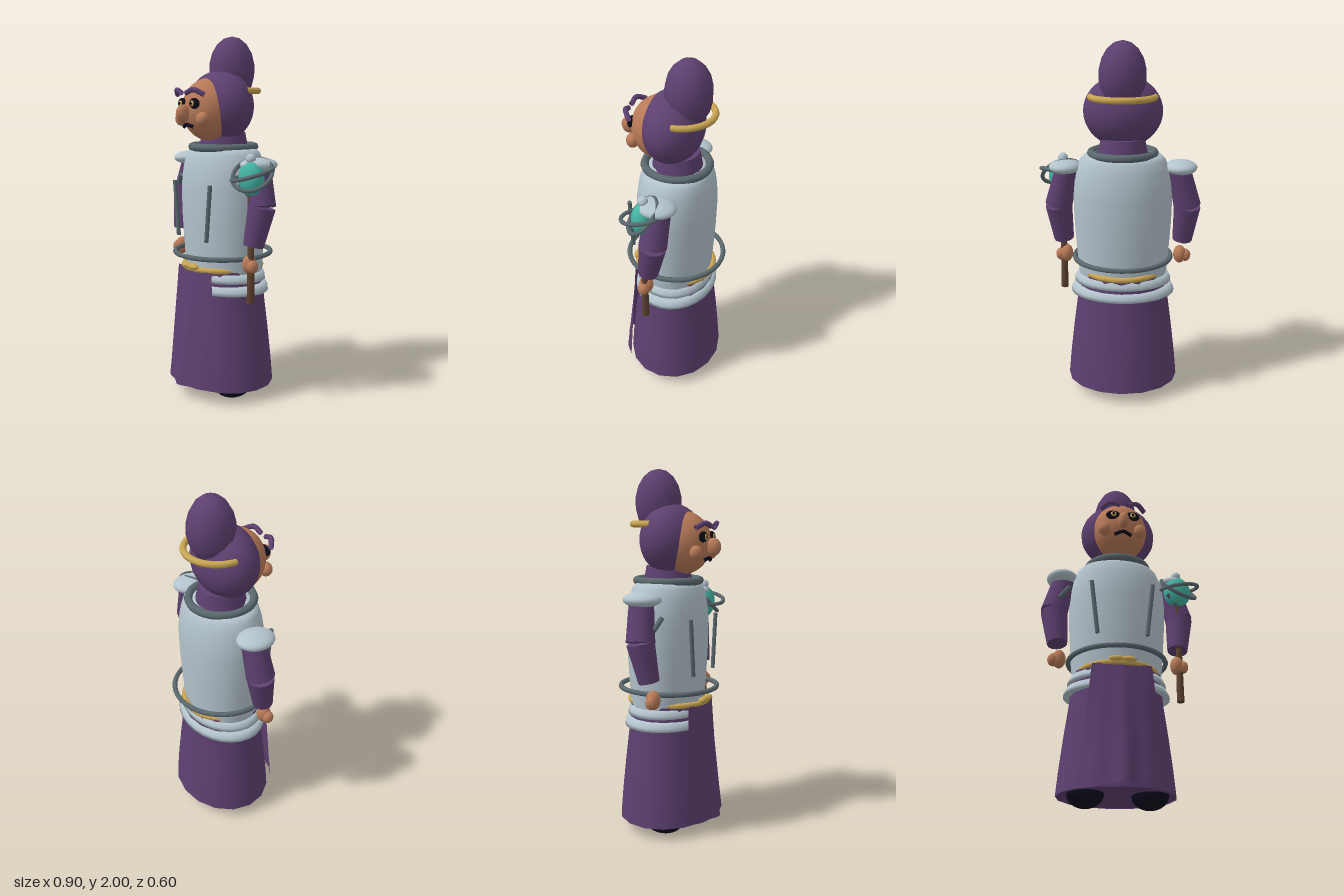
import * as THREE from 'three';

const mat = (name, color, side = THREE.FrontSide) => {
  const m = new THREE.MeshStandardMaterial({ color, side });
  m.name = name;
  return m;
};

export function createModel() {
  const purple = mat('purple cloth', 0x5d4070, THREE.DoubleSide);
  const steel = mat('pale steel', 0xb3c3cc, THREE.DoubleSide);
  const iron = mat('dark iron', 0x5a686d);
  const gold = mat('gold', 0xc9a552);
  const skin = mat('skin', 0xb87a58);
  const black = mat('black', 0x0b0b1c);
  const wood = mat('wood', 0x5e4231);
  const teal = mat('teal crystal', 0x43b3a2);

  const model = new THREE.Group();
  model.name = 'figure';
  const body = new THREE.Group();
  body.name = 'body';
  body.position.x = -0.022;
  model.add(body);

  const V = (x, y, z) => new THREE.Vector3(x, y, z);
  const add = (name, geo, material, x = 0, y = 0, z = 0) => {
    const m = new THREE.Mesh(geo, material);
    m.name = name;
    m.position.set(x, y, z);
    body.add(m);
    return m;
  };
  const ball = (name, material, pos, r, seg = 20) =>
    add(name, new THREE.SphereGeometry(1, seg, Math.ceil(seg * 0.7)).scale(...r), material, ...pos);
  const lathe = (name, material, pts, zScale, z, seg = 28) =>
    add(name, new THREE.LatheGeometry(pts.map(p => new THREE.Vector2(...p)), seg).scale(1, 1, zScale), material, 0, 0, z);
  const ring = (name, material, R, t, pos, seg = 40) =>
    add(name, new THREE.TorusGeometry(R, t, 8, seg).rotateX(Math.PI / 2), material, ...pos);
  const tube = (name, material, pts, r) =>
    add(name, new THREE.CapsuleGeometry ? new THREE.TubeGeometry(new THREE.CatmullRomCurve3(pts), 10, r, 8) : null, material);
  // Tapered cylinder from a to b
  const limb = (name, material, a, b, ra, rb, seg = 14) => {
    const d = b.clone().sub(a);
    const m = add(name, new THREE.CylinderGeometry(rb, ra, d.length(), seg), material, ...a.clone().lerp(b, 0.5).toArray());
    m.quaternion.setFromUnitVectors(V(0, 1, 0), d.normalize());
    return m;
  };

  // Skirt with closed hem
  lathe('skirt', purple, [[0.315, 0.07], [0.303, 0.2], [0.282, 0.38], [0.258, 0.56], [0.245, 0.73]], 0.85, -0.015, 16);
  add('skirtBottom', new THREE.CircleGeometry(0.314, 16).rotateX(Math.PI / 2).scale(1, 1, 0.85), purple, 0, 0.075, -0.015);

  // Apron panel: flares and bows outward towards the hem, with soft folds
  const apron = new THREE.PlaneGeometry(2, 1, 16, 8);
  const p = apron.attributes.position;
  for (let i = 0; i < p.count; i++) {
    const u = p.getX(i), v = p.getY(i) + 0.5;
    const half = THREE.MathUtils.lerp(0.222, 0.16, v);
    const mid = THREE.MathUtils.lerp(0.295, 0.205, v);
    const bow = THREE.MathUtils.lerp(0.085, 0.025, v);
    const fold = 0.007 * (1 - v) * Math.cos(u * 9.4);
    p.setXYZ(i, u * half, 0.09 + 0.64 * v - 0.01 * (1 - v) * (1 - u * u), mid - bow * Math.abs(u) ** 1.4 + fold);
  }
  apron.computeVertexNormals();
  add('apron', apron, purple);

  // Breastplate and flared hip bands
  lathe('breastplate', steel, [[0.245, 0.7], [0.253, 0.78], [0.262, 0.9], [0.27, 1.02], [0.274, 1.16], [0.268, 1.24],
    [0.255, 1.31], [0.235, 1.365], [0.21, 1.39], [0.15, 1.4]], 0.79, -0.02);
  for (const [y, r] of [[0.67, 0.272], [0.605, 0.292]])
    lathe('hipBand', steel, [[r - 0.05, y], [r, y], [r - 0.003, y + 0.02], [r - 0.017, y + 0.046], [r - 0.06, y + 0.046]], 0.79, -0.018);

  // Hoops and gold sash
  ring('waistHoop', iron, 0.27, 0.014, [0, 0.81, -0.015]);
  ring('collar', iron, 0.174, 0.022, [0, 1.4, -0.018]);
  ring('sash', gold, 0.218, 0.016, [0, 0.735, -0.012]);
  for (const s of [-1, 1]) ball('sashKnot', gold, [s * 0.03, 0.75, 0.21], [0.045, 0.018, 0.022], 12);

  // Neck, head and hair
  add('neck', new THREE.CylinderGeometry(0.12, 0.15, 0.16, 20), purple, 0, 1.4, -0.02);
  ball('hair', purple, [0, 1.622, 0.003], [0.216, 0.194, 0.165], 28);
  ball('face', skin, [0, 1.605, 0.06], [0.163, 0.174, 0.168], 28);
  ball('topknot', purple, [0, 1.82, -0.077], [0.127, 0.18, 0.127], 12);
  add('hairBand', new THREE.TorusGeometry(0.172, 0.018, 8, 20, Math.PI).rotateX(-Math.PI / 2), gold, 0, 1.705, -0.042);

  // Facial features
  ball('nose', skin, [0, 1.585, 0.25], [0.03, 0.048, 0.042], 14);
  tube('mouth', black, [V(-0.048, 1.513, 0.21), V(0, 1.526, 0.226), V(0.048, 1.513, 0.21)], 0.01);

  for (const s of [-1, 1]) {
    ball('cheek', skin, [s * 0.1, 1.555, 0.192], [0.038, 0.04, 0.035], 14);
    ball('eye', black, [s * 0.055, 1.638, 0.213], [0.042, 0.029, 0.018], 16);
    ball('iris', gold, [s * 0.055, 1.638, 0.226], [0.019, 0.016, 0.009], 12);
    ball('pupil', black, [s * 0.055, 1.638, 0.233], [0.008, 0.008, 0.005], 8);
    tube('eyebrow', purple, [V(s * 0.022, 1.693, 0.243), V(s * 0.078, 1.71, 0.235), V(s * 0.126, 1.685, 0.2)], 0.014);

    // Chest strips
    limb('chestStrip', iron, V(s * 0.135, 0.9, 0.195), V(s * 0.17, 1.21, 0.195), 0.012, 0.012, 8);
    limb('armStrap', iron, V(s * 0.335, 1.165, 0.06), V(s * 0.28, 1.225, 0.08), 0.014, 0.014, 8);

    // Sleeves, pauldrons and hands
    const shoulder = V(s * 0.305, 1.32, -0.025), elbow = V(s * 0.358, 1.1, -0.005), wrist = V(s * 0.336, 0.893, 0.032);
    limb('upperSleeve', purple, elbow, shoulder, 0.077, 0.064);
    limb('lowerSleeve', purple, wrist, elbow, 0.056, 0.075);
    ball('pauldron', steel, [s * 0.318, 1.32, -0.015], [0.09, 0.04, 0.105], 20);
    ball('hand', skin, [s * 0.325, 0.795, 0.05], [0.037, 0.052, 0.04], 14);
    ball('thumb', skin, [s * 0.358, 0.787, 0.055], [0.03, 0.036, 0.032], 12);

    // Shoes
    ball('shoe', black, [s * 0.167, 0.075, 0.037], [0.096, 0.072, 0.112], 20);
  }

  // Staff with caged crystal, held in the left hand
  const sx = 0.34, sz = 0.052;
  limb('staff', wood, V(sx, 0.585, sz), V(sx, 1.17, sz), 0.021, 0.014, 12);
  ball('crystal', teal, [sx, 1.253, sz], [0.078, 0.092, 0.06], 18);
  ball('staffFinial', steel, [sx - 0.004, 1.355, sz], [0.028, 0.028, 0.028], 12);
  const hoops = [[0.22, 0.17, 0.112], [0.75, -0.35, 0.108]];
  for (const [rx, rz, R] of hoops)
    ring('crystalHoop', iron, R, 0.011, [sx + 0.008, 1.275, sz], 32).rotation.set(rx, 0, rz);

  return model;
}
